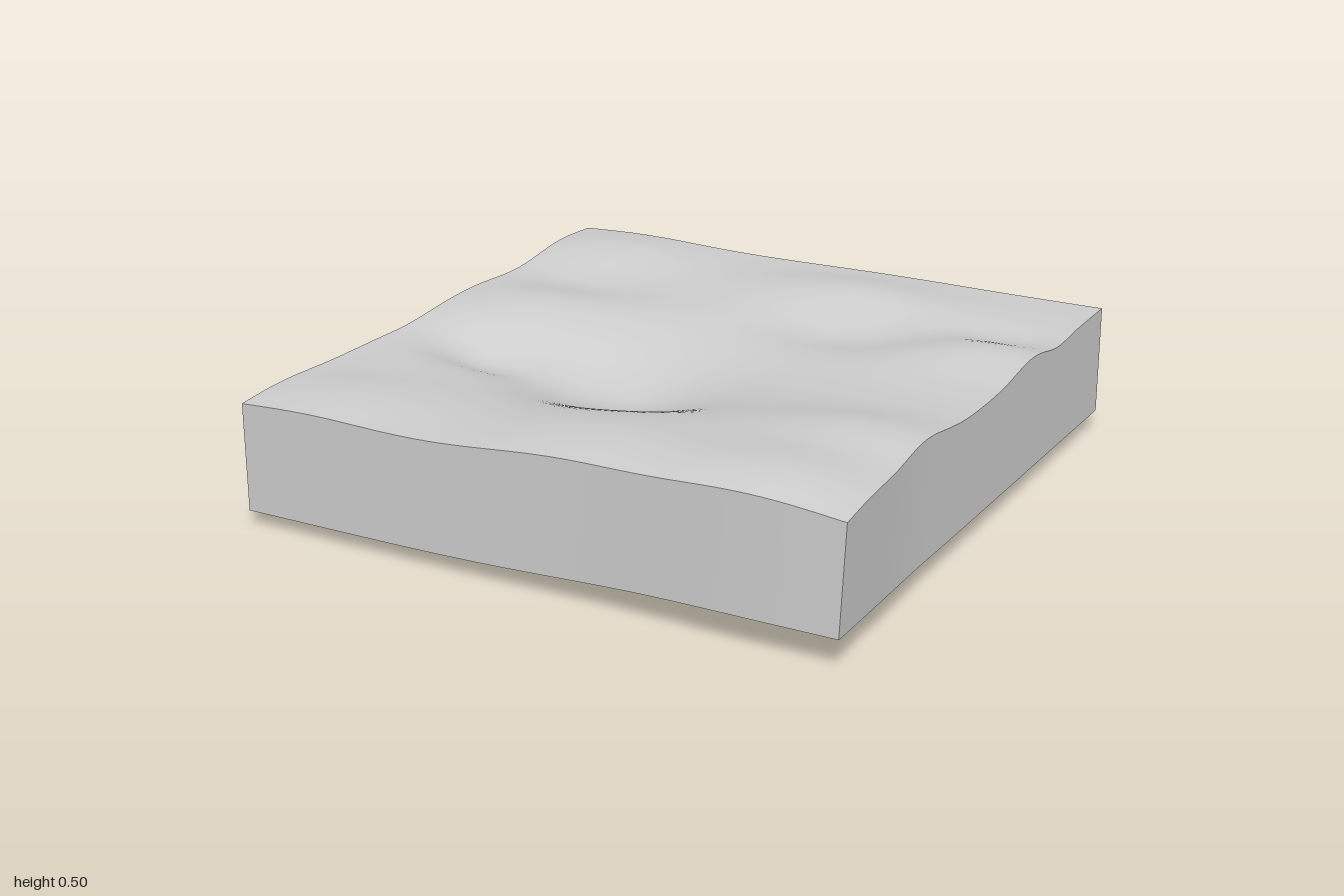
import * as THREE from 'three';

// Soft bumps and hollows: [x, z, height, spreadX, spreadZ]
const TOP_BUMPS = [
  [-0.2, 0.12, -0.15, 0.3, 0.22],  // main hollow
  [-0.72, -0.2, 0.03, 0.18, 0.17],
  [-0.7, 0.14, -0.06, 0.13, 0.1],
  [-0.75, -0.82, 0.035, 0.2, 0.13],
  [-0.7, -0.5, -0.03, 0.2, 0.12],
  [0.2, -0.72, 0.045, 0.25, 0.13],
  [0.3, -0.45, -0.04, 0.2, 0.12],
  [0.78, -0.38, 0.04, 0.2, 0.12],
  [0.8, -0.6, -0.02, 0.15, 0.08],
  [0.75, 0.42, 0.06, 0.25, 0.15],
  [0.7, 0.84, 0.08, 0.24, 0.18],
  [0.12, 0.78, 0.055, 0.25, 0.22],
  [-0.75, 0.8, 0.03, 0.2, 0.15],
];
const BOTTOM_BUMPS = [
  [-0.25, 0.1, -0.057, 0.4, 0.42],
  [0.6, 1, 0.025, 0.4, 0.3],
];

const sumBumps = (bumps, x, z) => bumps.reduce((sum, [cx, cz, h, sx, sz]) =>
  sum + h * Math.exp(-0.5 * (((x - cx) / sx) ** 2 + ((z - cz) / sz) ** 2)), 0);

const topHeight = (x, z) => 0.4 + 0.015 * x + sumBumps(TOP_BUMPS, x, z);
const bottomHeight = (x, z) =>
  0.06 + 0.012 * x + 0.007 * z + 0.006 * x * z + sumBumps(BOTTOM_BUMPS, x, z);

export function createModel() {
  const group = new THREE.Group();
  group.name = 'terrainTile';

  // Finely divided slab; its separate faces keep the rim edges sharp
  const geometry = new THREE.BoxGeometry(2, 1, 2, 72, 1, 72);
  const pos = geometry.attributes.position;
  for (let i = 0; i < pos.count; i++) {
    const u = pos.getX(i), v = pos.getZ(i), isTop = pos.getY(i) > 0;

    // Slightly uneven outline: the right front corner flares outward
    const flare = THREE.MathUtils.smoothstep(v, 0.35, 1) * (isTop ? 0.035 : 0.018);
    const rightEdge = 0.955 + flare;
    const frontEdge = 0.975 + 0.02 * Math.exp(-0.5 * ((u - 0.7) / 0.25) ** 2);
    const x = THREE.MathUtils.mapLinear(u, -1, 1, -0.99, rightEdge);
    const z = THREE.MathUtils.mapLinear(v, -1, 1, -0.995, frontEdge);
    pos.setXYZ(i, x, isTop ? topHeight(x, z) : bottomHeight(x, z), z);
  }
  geometry.computeVertexNormals();

  const slab = new THREE.Mesh(geometry, new THREE.MeshStandardMaterial({ color: 0xcccccc }));
  slab.name = 'groundSlab';
  group.add(slab);
  return group;
}
